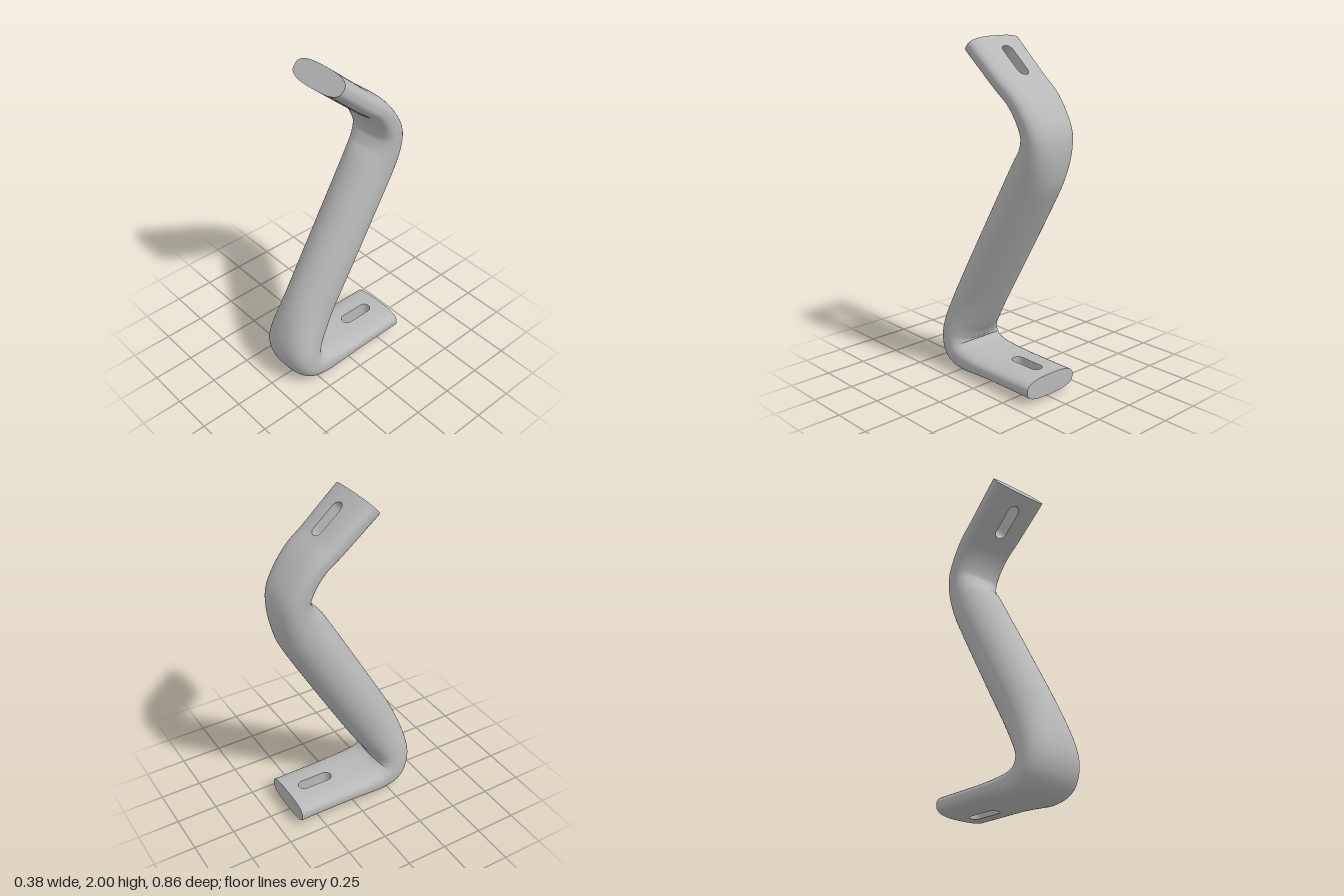
import * as THREE from 'three';
import { mergeVertices } from 'three/addons/utils/BufferGeometryUtils.js';

// Stations along the bent bar: [z, y, half thickness, half width]
const STATIONS = [
  [-0.38, 0.083, 0.063, 0.183],
  [-0.30, 0.083, 0.063, 0.183], // lower slot begins
  [-0.08, 0.083, 0.063, 0.185], // lower slot ends
  [0.00, 0.083, 0.065, 0.187],
  [0.10, 0.083, 0.073, 0.188],
  [0.21, 0.090, 0.090, 0.188],
  [0.285, 0.125, 0.108, 0.188],
  [0.312, 0.20, 0.115, 0.182],
  [0.295, 0.28, 0.125, 0.172],
  [0.25, 0.375, 0.140, 0.160],
  [0.183, 0.50, 0.150, 0.151],
  [0.01, 0.80, 0.152, 0.150],
  [-0.20, 1.165, 0.150, 0.150],
  [-0.27, 1.29, 0.143, 0.151],
  [-0.315, 1.39, 0.115, 0.155],
  [-0.328, 1.49, 0.093, 0.160],
  [-0.29, 1.585, 0.077, 0.165],
  [-0.215, 1.685, 0.067, 0.172],
  [-0.128, 1.755, 0.065, 0.177], // upper slot begins
  [0.039, 1.898, 0.065, 0.185],  // upper slot ends
  [0.10, 1.95, 0.065, 0.187],
];
const SEGS = STATIONS.length - 1;
const SLOTS = [1, SEGS - 2]; // spans that carry a slot
const SLOT_RADIUS = 0.036;
const ARC = 32;

const path = new THREE.CatmullRomCurve3(STATIONS.map(([z, y]) => new THREE.Vector3(0, y, z)));
const sizes = new THREE.CatmullRomCurve3(
  STATIONS.map(([, , th, wd]) => new THREE.Vector3(th, wd, 0)), false, 'catmullrom', 0.5);

// Half width of the slot at a point of a slotted span
function slotHalfWidth(span, p) {
  const a = path.getPoint(span / SEGS), b = path.getPoint((span + 1) / SEGS);
  const half = a.distanceTo(b) / 2;
  const d = p.distanceTo(a.add(b).multiplyScalar(0.5));
  const over = Math.max(0, d - (half - SLOT_RADIUS));
  return d > half - 1e-4 ? 0 : Math.sqrt(Math.max(0, SLOT_RADIUS ** 2 - over ** 2));
}

// One cross-section: the right half of a rounded oval, cut at the slot edge
function makeRow(t, span) {
  const c = path.getPoint(t), tan = path.getTangent(t), s = sizes.getPoint(t);
  const normal = new THREE.Vector3(0, tan.z, -tan.y);
  const slotted = SLOTS.includes(span);
  const w = slotted ? slotHalfWidth(span, c) : 0;
  const n = 2 + 0.8 * THREE.MathUtils.clamp((1 - s.x / s.y) / 0.6, 0, 1);
  const start = Math.acos(Math.pow(w / s.y, n / 2));
  const pts = [];
  for (let j = 0; j <= ARC; j++) {
    const a = start * (1 - 2 * j / ARC);
    const x = (j === 0 || j === ARC) ? w : s.y * Math.pow(Math.max(0, Math.cos(a)), 2 / n);
    const h = s.x * Math.sign(a) * Math.pow(Math.abs(Math.sin(a)), 2 / n);
    const p = c.clone().addScaledVector(normal, h);
    p.x = x;
    pts.push(p);
  }
  return { c, pts, slotted };
}

function makeRows() {
  const rows = [];
  for (let i = 0; i < SEGS; i++) {
    const slotted = SLOTS.includes(i);
    const steps = slotted ? 24 : 5;
    for (let k = 0; k < steps; k++) {
      // rows crowd together at the rounded slot ends
      const f = slotted ? (1 - Math.cos(Math.PI * k / steps)) / 2 : k / steps;
      rows.push(makeRow((i + f) / SEGS, i));
    }
  }
  rows.push(makeRow(1, SEGS - 1));
  return rows;
}

// Collects triangles and their mirror images across x = 0
function mirroredSurface() {
  const pos = [];
  const tri = (a, b, c) => {
    for (const p of [a, b, c]) pos.push(p.x, p.y, p.z);
    for (const p of [a, c, b]) pos.push(-p.x, p.y, p.z);
  };
  const quad = (a, b, c, d) => { tri(a, b, c); tri(b, d, c); };
  const build = () => {
    const g = new THREE.BufferGeometry();
    g.setAttribute('position', new THREE.Float32BufferAttribute(pos, 3));
    const merged = mergeVertices(g, 1e-5);
    merged.computeVertexNormals();
    return merged;
  };
  return { tri, quad, build };
}

export function createModel() {
  const group = new THREE.Group();
  const steel = new THREE.MeshStandardMaterial({ color: 0xb8b8b8 });
  steel.name = 'plain grey';
  const add = (name, surface) => {
    const mesh = new THREE.Mesh(surface.build(), steel);
    mesh.name = name;
    group.add(mesh);
  };
  const rows = makeRows();
  const bar = mirroredSurface(), walls = mirroredSurface();
  for (let i = 0; i < rows.length - 1; i++) {
    const p = rows[i].pts, q = rows[i + 1].pts;
    for (let j = 0; j < ARC; j++) bar.quad(p[j], q[j], p[j + 1], q[j + 1]);
    // inner walls of the slots
    if (rows[i].slotted) walls.quad(p[ARC], q[ARC], p[0], q[0]);
  }
  add('bentBar', bar);
  add('slotWalls', walls);

  // Flat end faces
  const first = rows[0], last = rows[rows.length - 1];
  const lower = mirroredSurface(), upper = mirroredSurface();
  for (let j = 0; j < ARC; j++) {
    lower.tri(first.c, first.pts[j], first.pts[j + 1]);
    upper.tri(last.c, last.pts[j + 1], last.pts[j]);
  }
  add('lowerEndFace', lower);
  add('upperEndFace', upper);
  return group;
}
